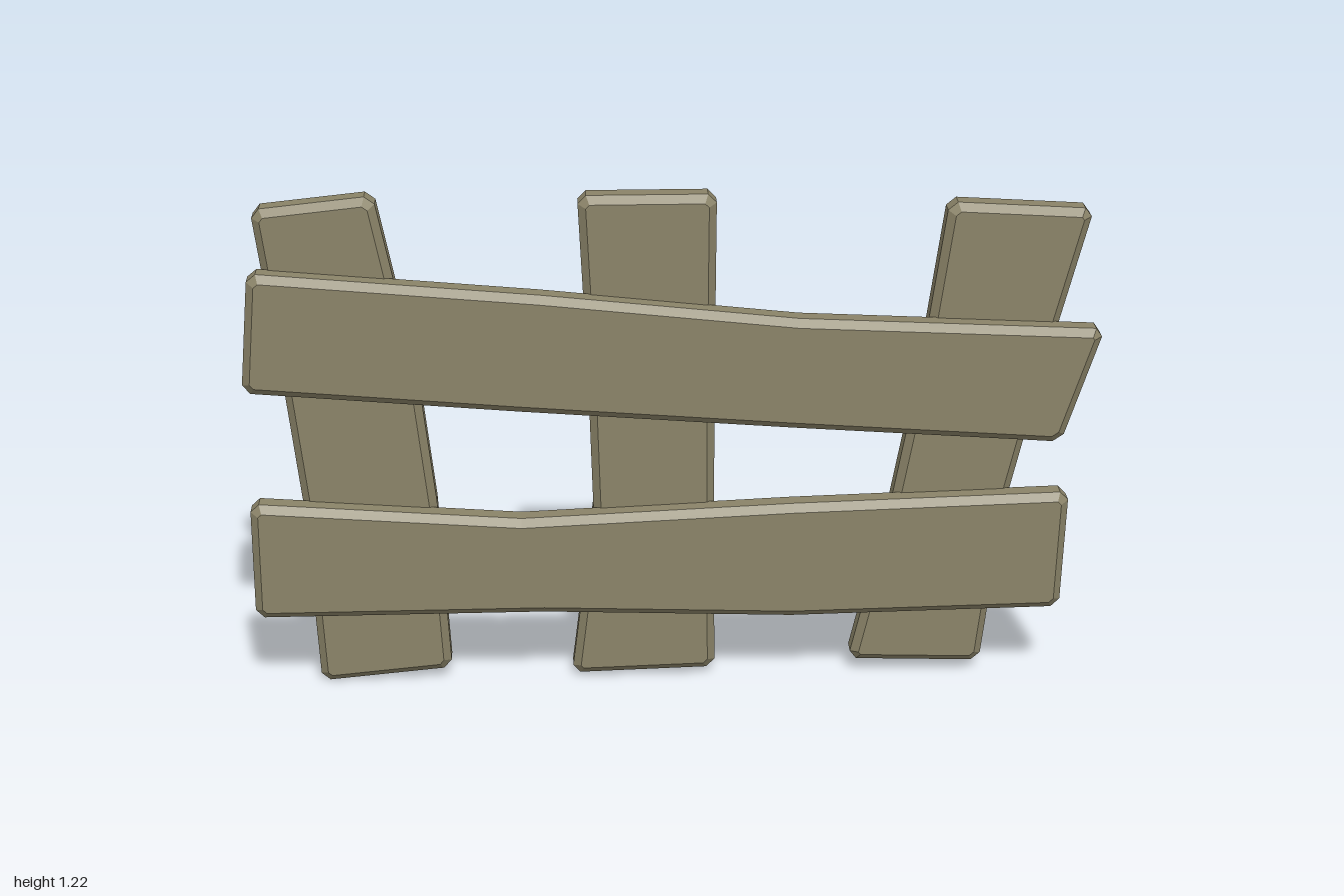
import * as THREE from 'three';

const BEVEL = 0.018;
const CUT = 0.02;

// Plank outline whose four end corners are trimmed diagonally.
// lower and upper are the two long edges, both listed in the same direction.
function plankShape(edgeA, edgeB) {
  const pts = [...edgeA, ...[...edgeB].reverse()].map(([x, y]) => new THREE.Vector2(x, y));
  const ends = [0, edgeA.length - 1, edgeA.length, pts.length - 1];
  const out = [];
  pts.forEach((p, i) => {
    if (!ends.includes(i)) return out.push(p);
    for (const q of [pts.at(i - 1), pts[(i + 1) % pts.length]]) {
      out.push(p.clone().add(q.clone().sub(p).setLength(CUT)));
    }
  });
  return new THREE.Shape(out);
}

// Chamfered plank between two depths
function plank(name, edgeA, edgeB, zBack, zFront, material) {
  const geometry = new THREE.ExtrudeGeometry(plankShape(edgeA, edgeB), {
    depth: zFront - zBack - 2 * BEVEL,
    bevelEnabled: true,
    bevelThickness: BEVEL,
    bevelSize: BEVEL,
    bevelOffset: -BEVEL,
    bevelSegments: 1,
  });
  geometry.translate(0, 0, zBack + BEVEL);
  const mesh = new THREE.Mesh(geometry, material);
  mesh.name = name;
  return mesh;
}

export function createModel() {
  const wood = new THREE.MeshStandardMaterial({ color: 0x8a8368 });
  wood.name = 'weathered wood';
  const fence = new THREE.Group();
  fence.name = 'fence';

  // Upright posts: right edge going up, then left edge going up
  const posts = {
    rightPost: [
      [[-0.535, 0.035], [-0.56, 0.47], [-0.595, 0.78], [-0.685, 1.225]],
      [[-0.85, 0.005], [-0.875, 0.47], [-0.91, 0.78], [-0.965, 1.195]],
    ],
    middlePost: [
      [[0.1, 0.025], [0.097, 0.45], [0.097, 0.8], [0.1, 1.22]],
      [[-0.245, 0.015], [-0.19, 0.45], [-0.2, 0.8], [-0.22, 1.22]],
    ],
    leftPost: [
      [[0.745, 0.03], [0.79, 0.43], [0.865, 0.76], [0.97, 1.175]],
      [[0.425, 0.04], [0.515, 0.43], [0.575, 0.76], [0.635, 1.195]],
    ],
  };
  for (const [name, [a, b]] of Object.entries(posts)) {
    fence.add(plank(name, a, b, -0.066, 0.012, wood));
  }

  // Cross rails: bottom edge, then top edge, both towards +x
  const rails = {
    upperRail: [
      [[-1, 0.77], [-0.36, 0.715], [0.28, 0.665], [0.91, 0.62]],
      [[-0.975, 1.06], [-0.31, 1.0], [0.29, 0.935], [1, 0.9]],
    ],
    lowerRail: [
      [[-0.995, 0.2], [-0.31, 0.203], [0.28, 0.183], [0.925, 0.195]],
      [[-0.995, 0.492], [-0.36, 0.445], [0.28, 0.473], [0.935, 0.492]],
    ],
  };
  for (const [name, [a, b]] of Object.entries(rails)) {
    fence.add(plank(name, a, b, -0.011, 0.066, wood));
  }
  return fence;
}
